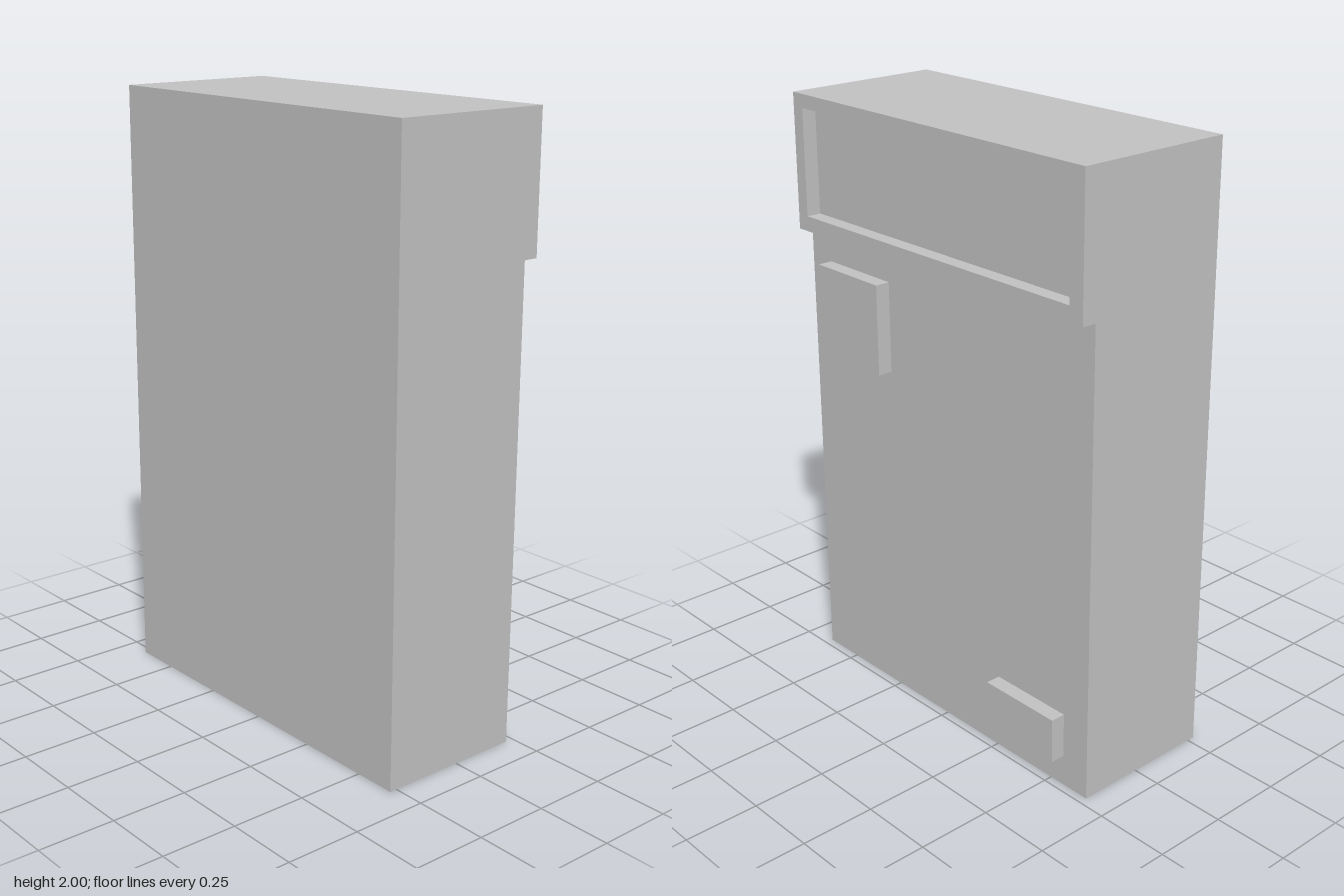
import * as THREE from 'three';

const grey = new THREE.MeshStandardMaterial({ color: 0xc0c0c0 });
grey.name = 'grey';

const BACK = -0.275, FACE = 0.222, RELIEF = 0.05;

// The whole cabinet leans very slightly towards +z.
function lean(geometry) {
  const p = geometry.attributes.position;
  for (let i = 0; i < p.count; i++) p.setZ(i, p.getZ(i) + 0.0055 * (p.getY(i) - 1));
  geometry.computeVertexNormals();
  return geometry;
}

function addPart(group, name, geometry) {
  const mesh = new THREE.Mesh(lean(geometry), grey);
  mesh.name = name;
  group.add(mesh);
}

// Box given by its limits along each axis
function block(x0, x1, y0, y1, z0, z1) {
  return new THREE.BoxGeometry(x1 - x0, y1 - y0, z1 - z0)
    .translate((x0 + x1) / 2, (y0 + y1) / 2, (z0 + z1) / 2);
}

function rectangle(path, u0, u1, v0, v1) {
  return path.moveTo(u0, v0).lineTo(u1, v0).lineTo(u1, v1).lineTo(u0, v1).closePath();
}

export function createModel() {
  const group = new THREE.Group();
  group.name = 'cabinet';

  addPart(group, 'body', block(BACK, FACE, 0, 2, -0.65, 0.65));

  // Raised frame around the recessed upper panel (shape x runs along -z)
  const outline = rectangle(new THREE.Shape(), -0.65, 0.65, 1.555, 2);
  outline.holes.push(rectangle(new THREE.Path(), -0.605, 0.597, 1.605, 1.955));
  const frame = new THREE.ExtrudeGeometry(outline, { depth: RELIEF, bevelEnabled: false });
  frame.rotateY(Math.PI / 2).translate(FACE, 0, 0);
  addPart(group, 'upperFrame', frame);

  // Raised plates on the +x face
  addPart(group, 'controlPlate', block(FACE, FACE + RELIEF, 1.155, 1.455, 0.257, 0.555));
  addPart(group, 'lowerPlate', block(FACE, FACE + RELIEF, 0.105, 0.255, -0.548, -0.25));

  return group;
}
